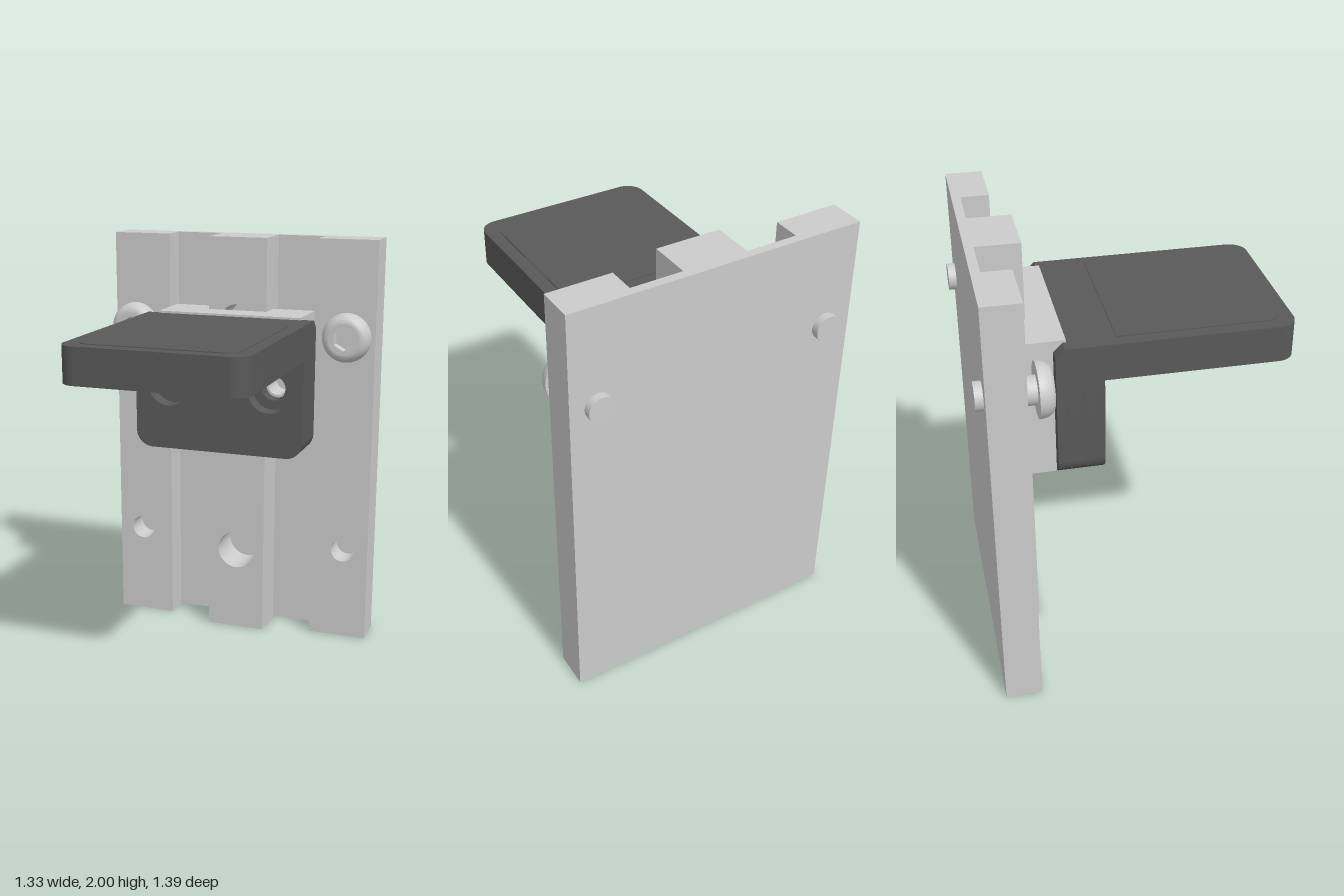
import * as THREE from 'three';
import { toCreasedNormals } from 'three/addons/utils/BufferGeometryUtils.js';

const grey = new THREE.MeshStandardMaterial({ color: 0xcccccc });
const dark = new THREE.MeshStandardMaterial({ color: 0x595959 });

function mesh(name, geometry, material, parent) {
  const m = new THREE.Mesh(geometry, material);
  m.name = name;
  parent.add(m);
  return m;
}

// Rectangle whose two lower corners (r0) and two upper corners (r1) may be rounded
function rect(x0, x1, y0, y1, r0 = 0, r1 = 0) {
  const s = new THREE.Shape();
  const corner = (x, y, r, a) => (r ? s.absarc(x, y, r, a, a + Math.PI / 2, false) : s.lineTo(x, y));
  s.moveTo(x0 + r0, y0);
  corner(x1 - r0, y0 + r0, r0, -Math.PI / 2);
  corner(x1 - r1, y1 - r1, r1, 0);
  corner(x0 + r1, y1 - r1, r1, Math.PI / 2);
  corner(x0 + r0, y0 + r0, r0, Math.PI);
  return s;
}

function drill(shape, holes, r) {
  for (const [x, y] of holes) shape.holes.push(new THREE.Path().absarc(x, y, r, 0, Math.PI * 2, true));
  return shape;
}

// Extrude an xy shape between two depths
function slab(shape, z0, z1) {
  const g = new THREE.ExtrudeGeometry(shape, { depth: z1 - z0, bevelEnabled: false, curveSegments: 16 });
  return toCreasedNormals(g.translate(0, 0, z0), 0.6);
}

// Extrude a shape drawn in x and z between two heights
function deck(shape, y0, y1) {
  return slab(shape, -y1, -y0).rotateX(Math.PI / 2);
}

function makeRail() {
  const rail = new THREE.Group();
  rail.name = 'rail';
  mesh('backPlate', slab(rect(-0.667, 0.667, 0, 2), -0.66, -0.62), grey, rail);
  for (const s of [-1, 1]) {
    const flange = rect(Math.min(s * 0.378, s * 0.667), Math.max(s * 0.378, s * 0.667), 0, 2);
    mesh('sideFlange', slab(drill(flange, [[s * 0.54, 0.46], [s * 0.54, 1.545]], 0.06), -0.62, -0.495), grey, rail);
  }
  mesh('centreRib', slab(drill(rect(-0.146, 0.146, 0, 2), [[0, 0.42], [0, 1.585]], 0.095), -0.62, -0.427), grey, rail);
  return rail;
}

const boltHoles = [[-0.25, 1.325], [0.25, 1.325]];

// Block that straddles the rib
function makeSlider() {
  const slider = new THREE.Group();
  slider.name = 'slider';
  mesh('sliderBody', slab(drill(rect(-0.355, 0.355, 1.005, 1.65), boltHoles, 0.047), -0.427, -0.29), grey, slider);
  mesh('leftSliderLeg', slab(rect(0.146, 0.355, 1.005, 1.65), -0.537, -0.427), grey, slider);
  mesh('rightSliderLeg', slab(rect(-0.355, -0.146, 1.005, 1.65), -0.537, -0.427), grey, slider);
  return slider;
}

function makeBracket() {
  const bracket = new THREE.Group();
  bracket.name = 'bracket';
  // Horizontal plate with rounded front corners and shallow pads on both faces
  mesh('shelf', deck(rect(-0.415, 0.415, -0.14, 0.692, 0, 0.08), 1.475, 1.64), dark, bracket);
  mesh('shelfPads', deck(rect(-0.355, 0.355, -0.08, 0.63, 0, 0.06), 1.471, 1.644), dark, bracket);
  // Upright plate: counterbored front layer, narrower holes behind
  const upright = () => rect(-0.415, 0.415, 1.01, 1.64, 0.08);
  mesh('uprightFront', slab(drill(upright(), boltHoles, 0.105), -0.22, -0.14), dark, bracket);
  mesh('uprightBack', slab(drill(upright(), boltHoles, 0.058), -0.29, -0.22), dark, bracket);
  // Cheeks that wrap the slider, chamfered at the top
  for (const s of [-1, 1]) {
    const cheek = new THREE.Shape();
    cheek.moveTo(s * 0.355, 1.013);
    cheek.absarc(s * 0.335, 1.09, 0.08, s > 0 ? -1.318 : Math.PI + 1.318, s > 0 ? 0 : Math.PI, s < 0);
    cheek.lineTo(s * 0.415, 1.6);
    cheek.lineTo(s * 0.355, 1.6);
    mesh('cheek', slab(cheek, -0.345, -0.29), dark, bracket);
    const chamfer = new THREE.Shape([[0.29, 1.6], [0.345, 1.6], [0.305, 1.64], [0.29, 1.64]]
      .map(([z, y]) => new THREE.Vector2(z, y)));
    mesh('cheekChamfer', slab(chamfer, -0.03, 0.03).rotateY(Math.PI / 2).translate(s * 0.385, 0, 0), dark, bracket);
  }
  return bracket;
}

// Button-head screw with a hexagonal socket, pointing along z
function makeScrew(x) {
  const screw = new THREE.Group();
  screw.name = 'screw';
  const profile = [new THREE.Vector2(0, 0), new THREE.Vector2(0.118, 0)];
  for (let i = 0; i <= 10; i++) {
    const a = (i / 10) * Math.PI / 2;
    profile.push(new THREE.Vector2(0.076 + 0.042 * Math.cos(a), 0.004 + 0.063 * Math.sin(a)));
  }
  const dome = toCreasedNormals(new THREE.LatheGeometry(profile, 40), 0.6).rotateX(Math.PI / 2);
  mesh('screwDome', dome.translate(0, 0, -0.445), grey, screw);
  const face = drill(new THREE.Shape(), [], 0);
  face.absarc(0, 0, 0.076, 0, Math.PI * 2, false);
  const hex = [];
  for (let i = 0; i < 6; i++) {
    const a = Math.PI / 2 - i * Math.PI / 3;
    hex.push(new THREE.Vector2(0.055 * Math.cos(a), 0.055 * Math.sin(a)));
  }
  face.holes.push(new THREE.Path(hex));
  mesh('socket', slab(face, -0.43, -0.378), grey, screw);
  const shank = new THREE.CylinderGeometry(0.061, 0.061, 0.265, 32).rotateX(Math.PI / 2);
  mesh('shank', shank.translate(0, 0, -0.5625), grey, screw);
  screw.position.set(x, 1.545, 0);
  return screw;
}

export function createModel() {
  const model = new THREE.Group();
  model.name = 'railBracket';
  model.add(makeRail(), makeSlider(), makeBracket(), makeScrew(-0.54), makeScrew(0.54));
  return model;
}
